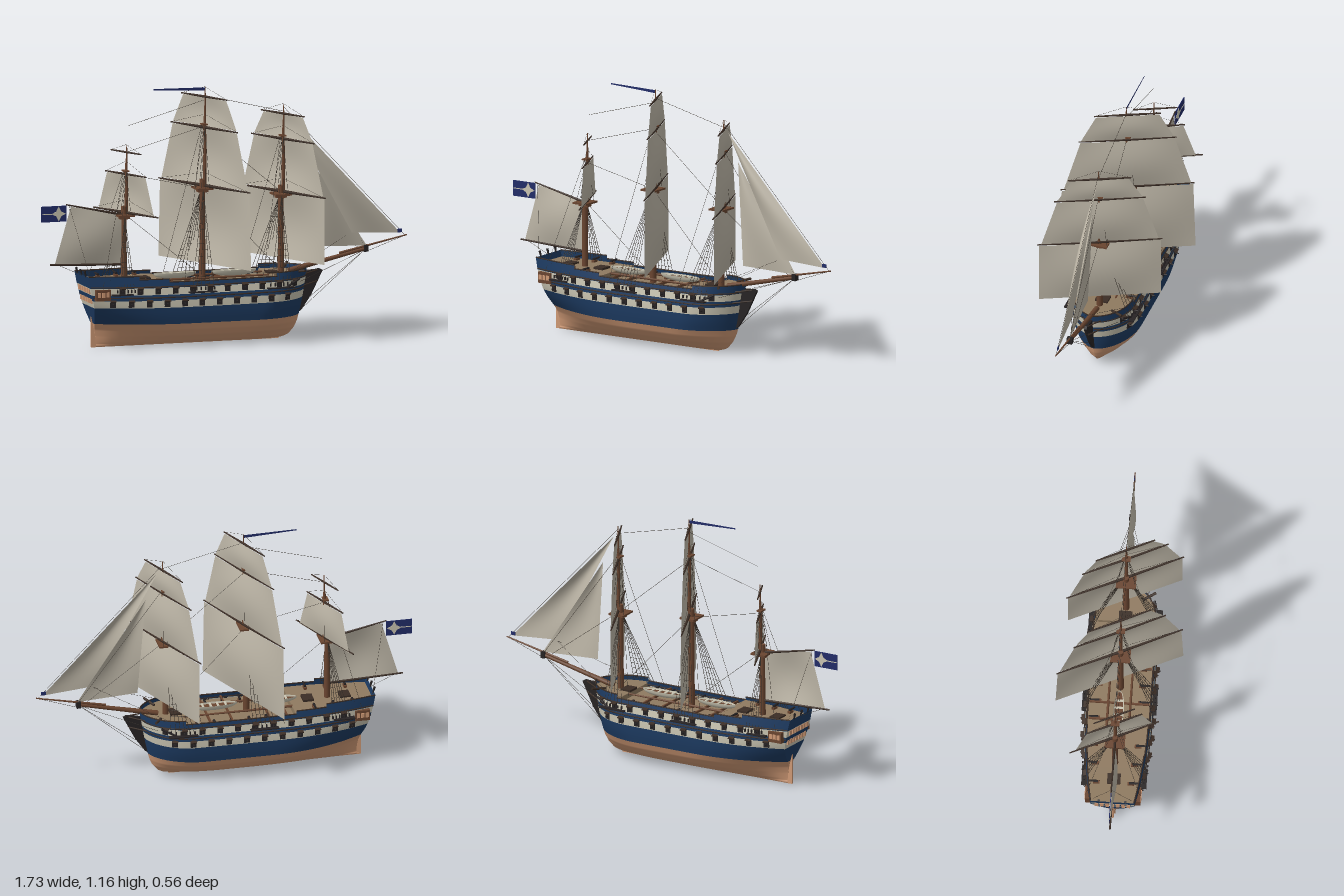
import * as THREE from 'three';
import { mergeGeometries } from 'three/addons/utils/BufferGeometryUtils.js';

const mat = (name, color) => Object.assign(new THREE.MeshStandardMaterial({ color, side: THREE.DoubleSide }), { name });
const V = (x, y, z) => new THREE.Vector3(x, y, z);
const lerp = THREE.MathUtils.lerp;

// Waterlines: y, stern x, bow x, half beam, stern breadth ratio, run length aft, entrance length
const LINES = [
  [0, -0.475, 0.37, 0.004, 1, 0.5, 0.2], [0.008, -0.475, 0.415, 0.034, 0.1, 0.5, 0.28],
  [0.02, -0.475, 0.44, 0.063, 0.06, 0.5, 0.28], [0.05, -0.478, 0.465, 0.106, 0.05, 0.5, 0.26],
  [0.08, -0.483, 0.478, 0.132, 0.08, 0.47, 0.25], [0.11, -0.49, 0.486, 0.146, 0.2, 0.44, 0.24],
  [0.15, -0.5, 0.496, 0.152, 0.42, 0.43, 0.22], [0.19, -0.51, 0.504, 0.154, 0.57, 0.42, 0.21],
  [0.23, -0.52, 0.511, 0.152, 0.64, 0.42, 0.2], [0.285, -0.533, 0.52, 0.143, 0.7, 0.42, 0.19],
  [0.34, -0.545, 0.526, 0.132, 0.73, 0.42, 0.18]];
function line(y) {
  let i = 0;
  while (i < LINES.length - 2 && y > LINES[i + 1][0]) i++;
  const a = LINES[i], b = LINES[i + 1], t = (y - a[0]) / (b[0] - a[0]);
  return a.map((v, k) => lerp(v, b[k], t));
}
function half(y, x) {
  const [, xs, xb, B, r, La, Lb] = line(y);
  const f = THREE.MathUtils.clamp((x - xb + Lb) / Lb, 0, 1);
  const a = THREE.MathUtils.clamp((xs + La - x) / La, 0, 1);
  return B * Math.pow(1 - f * f, 0.62) * (1 - (1 - r) * Math.pow(a, 2.2));
}
const sheer = (y, x) => y + 0.02 * x * x * THREE.MathUtils.clamp((y - 0.11) / 0.1, 0, 1);

// Smooth grid surface from a function of u, v in 0..1
function patch(fn, nu, nv) {
  const g = new THREE.PlaneGeometry(1, 1, nu, nv), p = g.attributes.position;
  for (let i = 0; i < p.count; i++) {
    const q = fn(p.getX(i) + 0.5, p.getY(i) + 0.5);
    p.setXYZ(i, q.x, q.y, q.z);
  }
  g.computeVertexNormals();
  return g;
}
function rod(a, b, r0, r1 = r0, seg = 8) {
  const d = b.clone().sub(a), g = new THREE.CylinderGeometry(r1, r0, d.length(), seg);
  g.applyQuaternion(new THREE.Quaternion().setFromUnitVectors(V(0, 1, 0), d.normalize()));
  return g.translate((a.x + b.x) / 2, (a.y + b.y) / 2, (a.z + b.z) / 2);
}
const box = (w, h, d, x, y, z, ry = 0, rx = 0) =>
  new THREE.BoxGeometry(w, h, d).rotateX(rx).rotateY(ry).translate(x, y, z);

export function createModel() {
  const ship = new THREE.Group();
  ship.name = 'sailingShip';
  const copper = mat('copper', 0xcf9975), blue = mat('hullBlue', 0x1d3b62), cream = mat('cream', 0xcac5b2),
    canvas = mat('canvas', 0xbcb5a6), wood = mat('mastWood', 0x6a4530), dark = mat('darkWood', 0x3b2d25),
    deckM = mat('deckPlanks', 0x8f7a60), black = mat('black', 0x272324), navy = mat('flagNavy', 0x222c68),
    rope = mat('rope', 0x3a332c);
  const add = (name, geo, m) => {
    const mesh = new THREE.Mesh(Array.isArray(geo) ? mergeGeometries(geo) : geo, m);
    mesh.name = name;
    ship.add(mesh);
  };

  // Hull planking in horizontal bands, closed by the transom
  function band(name, y0, y1, m, rows = 3, x0 = -9, x1 = 9) {
    const geos = [1, -1].map(s => patch((u, v) => {
      const y = lerp(y0, y1, v), L = line(y), a = Math.max(L[1], x0), b = Math.min(L[2], x1);
      const x = b - (b - a) * Math.pow(u, 1.8);
      return V(x, sheer(y, x), s * half(y, x));
    }, 48, rows));
    if (x0 < -1) geos.push(patch((u, v) => {
      const y = lerp(y0, y1, v), x = line(y)[1];
      return V(x, sheer(y, x), (2 * u - 1) * half(y, x));
    }, 2, rows));
    add(name, geos, m);
  }
  band('copperBottom', 0, 0.11, copper, 22);
  band('lowerWale', 0.11, 0.186, blue, 4);
  band('lowerStripe', 0.186, 0.219, cream);
  band('middleWale', 0.219, 0.245, blue);
  band('upperStripe', 0.245, 0.276, cream);
  band('bulwark', 0.276, 0.3, blue);
  band('quarterBulwark', 0.3, 0.314, blue, 1, -9, -0.17);
  band('poopBulwark', 0.314, 0.329, blue, 1, -9, -0.31);
  band('forecastleBulwark', 0.3, 0.316, blue, 1, 0.34);

  // Decks, bulkheads and rails
  const deck = (y, x0, x1) => patch((u, v) => {
    const x = lerp(Math.max(x0, line(y)[1]), Math.min(x1, line(y)[2]), 1 - (1 - u) ** 1.6);
    return V(x, sheer(y, x), (2 * v - 1) * half(y, x) * 0.995);
  }, 32, 2);
  add('decks', [deck(0.272, -9, 9), deck(0.3, -9, -0.17), deck(0.296, 0.34, 9),
    box(0.006, 0.03, 0.27, -0.17, 0.286, 0), box(0.006, 0.026, 0.25, 0.34, 0.284, 0)], deckM);
  const rails = [], rail = (y, x0, x1) => [1, -1].forEach(s => {
    const pts = [...Array(17).keys()].map(i => {
      const x = lerp(x0, x1, 1 - (1 - i / 16) ** 1.6);
      return V(x, sheer(y, x) + 0.001, s * half(y, x));
    });
    rails.push(new THREE.TubeGeometry(new THREE.CatmullRomCurve3(pts), 40, 0.003, 5));
  });
  rail(0.329, -0.541, -0.31); rail(0.314, -0.31, -0.17); rail(0.3, -0.17, 0.34); rail(0.316, 0.34, 0.522);
  rail(0.232, -0.52, 0.51); rail(0.28, -0.531, 0.518);
  add('rails', rails, dark);

  // Gun ports with raised lids, muzzles and deck guns
  const ports = [], lids = [], guns = [], carriages = [];
  [[0.204, 0], [0.262, 0.04]].forEach(([y, off]) => {
    for (let i = 0; i < 11; i++) [1, -1].forEach(s => {
      const x = -0.43 + off + i * 0.082, z = half(y, x) * s, yy = sheer(y, x);
      const ry = -Math.atan2((half(y, x + 0.01) - half(y, x - 0.01)) * s, 0.02);
      ports.push(box(0.026, 0.027, 0.006, x, yy, z, ry));
      lids.push(box(0.027, 0.004, 0.016, x, yy + 0.016, z + s * 0.007, ry, s * 0.35));
      guns.push(rod(V(x, yy, z - s * 0.01), V(x, yy, z + s * 0.018), 0.004, 0.003));
    });
  });
  const deckGun = (x, y, z0) => [1, -1].forEach(s => {
    guns.push(rod(V(x, y + 0.014, s * z0), V(x, y + 0.016, s * (z0 + 0.045)), 0.006, 0.004));
    carriages.push(box(0.014, 0.01, 0.03, x, y + 0.005, s * (z0 + 0.008)));
  });
  for (let i = 0; i < 6; i++) deckGun(-0.12 + i * 0.08, 0.272, 0.09);
  for (let i = 0; i < 3; i++) deckGun(-0.44 + i * 0.09, 0.304, 0.07 + i * 0.01);
  add('gunPorts', ports, black);
  add('portLids', lids, dark);
  add('guns', guns, black);
  add('gunCarriages', carriages, wood);

  // Keel, rudder, stem and beakhead
  add('rudder', [box(0.022, 0.14, 0.008, -0.486, 0.07, 0), box(0.88, 0.008, 0.01, -0.05, 0.004, 0)], copper);
  const stem = new THREE.Shape([[0.478, 0.11], [0.5, 0.125], [0.545, 0.19], [0.575, 0.25], [0.6, 0.3],
    [0.585, 0.308], [0.515, 0.295]].map(p => new THREE.Vector2(...p)));
  add('stem', new THREE.ExtrudeGeometry(stem, { depth: 0.012, bevelEnabled: false }).translate(0, 0, -0.006), black);
  add('headRails', [1, -1].flatMap(s => [0.24, 0.29].map(y =>
    rod(V(0.495, y, s * 0.045), V(0.575, y + 0.012, s * 0.006), 0.003))), dark);
  add('catheads', [1, -1].map(s => rod(V(0.44, 0.31, s * 0.07), V(0.475, 0.32, s * 0.13), 0.006)), dark);
  add('anchors', [1, -1].map(s => rod(V(0.38, 0.25, s * 0.146), V(0.45, 0.285, s * 0.125), 0.005)), black);

  // Quarter galleries and stern windows
  add('quarterGalleries', [1, -1].map(s => box(0.068, 0.05, 0.03, -0.478, 0.252, s * 0.11)), wood);
  const panes = [];
  [1, -1].forEach(s => [-0.498, -0.478, -0.458].forEach(x => panes.push(box(0.015, 0.022, 0.004, x, 0.254, s * 0.126))));
  [0.215, 0.262].forEach(y => { for (let i = -3; i <= 3; i++) panes.push(box(0.006, 0.022, 0.016, line(y)[1] - 0.002, y + 0.006, i * 0.024)); });
  add('sternWindows', panes, copper);
  add('sternLanterns', [-0.06, 0, 0.06].map(z => rod(V(-0.54, 0.33, z), V(-0.547, 0.358, z), 0.003, 0.006)), black);

  // Boats, skid beams, spare spars and hatches amidships
  const BOATS = [[-0.2, 0.2], [0.075, 0.21]], swell = u => Math.pow(Math.max(0, 1 - (2 * u - 1) ** 2), 0.6);
  add('boatHulls', BOATS.map(([x0, len]) => patch((u, v) => {
    const k = swell(u), a = Math.PI * v;
    return V(x0 + len * u, 0.322 - 0.028 * Math.sin(a) * (0.3 + 0.7 * k), 0.024 * k * Math.cos(a));
  }, 20, 8)), cream);
  add('boatFloors', BOATS.map(([x0, len]) => patch((u, v) =>
    V(x0 + len * lerp(0.04, 0.96, u), 0.315, 0.019 * swell(lerp(0.04, 0.96, u)) * (2 * v - 1)), 16, 1)), wood);
  add('boatThwarts', BOATS.flatMap(([x0, len]) => [0.25, 0.42, 0.58, 0.75].map(k => box(0.01, 0.003, 0.038, x0 + len * k, 0.319, 0))), cream);
  add('skidBeams', [-0.13, -0.05, 0.12, 0.22].map(x => box(0.008, 0.01, 0.27, x, 0.288, 0)), wood);
  add('spareSpars', [1, -1].map(s => rod(V(-0.17, 0.298, s * 0.05), V(0.33, 0.298, s * 0.05), 0.006, 0.004)), wood);
  add('hatches', [[-0.25, 0.306], [-0.42, 0.306], [0.36, 0.302]].map(([x, y]) => box(0.05, 0.01, 0.06, x, y, 0)), dark);

  // Masts with braced yards, square sails, tops and shrouds
  const ANG = 0.425, OUT = 0.012, dir = V(Math.sin(ANG), 0, Math.cos(ANG)), fwd = V(Math.cos(ANG), 0, -Math.sin(ANG));
  const lines = [], str = (a, b, r = 0.0009) => lines.push(rod(a, b, r, r, 3));
  const at = (m, y, along, out) => V(m.x, y, 0).addScaledVector(dir, along).addScaledVector(fwd, out);
  const masts = [
    { name: 'main', x: 0.031, h: 1.16, top: 0.7, yards: [[0.71, 0.303], [0.975, 0.222], [1.115, 0.152]],
      sails: [[0.355, 0.307, 0.705, 0.297], [0.715, 0.287, 0.97, 0.213], [0.98, 0.211, 1.11, 0.143]] },
    { name: 'fore', x: 0.403, h: 1.065, top: 0.655, yards: [[0.665, 0.283], [0.905, 0.208], [1.02, 0.143]],
      sails: [[0.36, 0.275, 0.66, 0.275], [0.67, 0.265, 0.9, 0.195], [0.91, 0.193, 1.015, 0.13]] },
    { name: 'mizzen', x: -0.341, h: 0.915, top: 0.595, yards: [[0.605, 0.215], [0.78, 0.135], [0.88, 0.1]],
      sails: [[0.6, 0.185, 0.775, 0.128]] }];
  for (const m of masts) {
    add(m.name + 'Mast', [rod(V(m.x, 0.2, 0), V(m.x, m.top + 0.04, 0), 0.015, 0.012, 12),
      rod(V(m.x + 0.012, m.top - 0.02, 0), V(m.x + 0.012, m.yards[1][0] + 0.05, 0), 0.009, 0.006),
      rod(V(m.x + 0.012, m.yards[1][0], 0), V(m.x + 0.014, m.h, 0), 0.006, 0.002)], wood);
    add(m.name + 'Top', [box(0.075, 0.008, 0.09, m.x, m.top, 0), box(0.05, 0.014, 0.03, m.x, m.top - 0.01, 0),
      box(0.025, 0.006, 0.04, m.x + 0.008, m.yards[1][0] + 0.015, 0)], wood);
    add(m.name + 'Yards', m.yards.flatMap(([y, w]) => [1, -1].map(s =>
      rod(at(m, y, 0, OUT), at(m, y, s * w, OUT), 0.008 * Math.sqrt(w / 0.3), 0.003))), dark);
    add(m.name + 'Sails', m.sails.map(([y0, w0, y1, w1]) => patch((u, v) => {
      const belly = 0.07 * (y1 - y0) * Math.sin(Math.PI * u) * Math.sin(Math.PI * v);
      return at(m, lerp(y0, y1, v), (2 * u - 1) * lerp(w0, w1, v), OUT + 0.003 + belly);
    }, 16, 12)), canvas);
    const chan = [], small = m.name === 'mizzen' ? 0.75 : 1;
    [1, -1].forEach(s => {
      const cz = x => s * (half(0.25, x) + 0.011);
      chan.push(box(0.13 * small, 0.005, 0.026, m.x - 0.05, 0.252, cz(m.x - 0.05) - s * 0.004));
      const feet = [...Array(6).keys()].map(i => m.x + 0.005 - i * 0.021 * small).map(x => V(x, 0.26, cz(x)));
      const head = V(m.x, m.top - 0.005, s * 0.014);
      feet.forEach(f => { str(f, head, 0.0012); chan.push(box(0.006, 0.014, 0.006, f.x, 0.268, f.z)); });
      for (let k = 1; k < 14; k++) str(feet[0].clone().lerp(head, k / 15), feet[5].clone().lerp(head, k / 15), 0.0007);
      for (let i = -1; i <= 1; i++) str(V(m.x + i * 0.02, m.top, s * 0.042), V(m.x + 0.01, m.yards[1][0] + 0.015, s * 0.006));
      str(V(m.x - 0.14, 0.27, cz(m.x - 0.14)), V(m.x, m.yards[1][0] + 0.02, 0));
      m.yards.forEach(([y, w]) => str(at(m, y, s * w, OUT), V(m.x + 0.012, Math.min(m.h, y + 0.06), 0), 0.0006));
    });
    add(m.name + 'Channels', chan, black);
  }

  // Bowsprit and jib boom
  add('bowsprit', [rod(V(0.44, 0.305, 0), V(0.81, 0.388, 0), 0.012, 0.008, 12), rod(V(0.68, 0.372, 0), V(1, 0.44, 0), 0.006, 0.003)], wood);
  add('bowspritCap', box(0.02, 0.03, 0.026, 0.805, 0.388, 0), black);
  add('jack', box(0.022, 0.016, 0.003, 0.966, 0.46, 0), navy);

  // Fore-and-aft sails: corners head, tack, clew, then slight belly
  const jib = (h, t, c) => patch((u, v) => {
    const p = V(...h, 0).lerp(V(...t, 0).lerp(V(...c, 0), u), v);
    p.z = 0.022 * Math.sin(Math.PI * u) * Math.sin(Math.PI * v) + 0.012 * u * v;
    return p;
  }, 10, 16);
  add('jibs', [jib([0.44, 1.01], [0.97, 0.45], [0.735, 0.465]), jib([0.495, 0.88], [0.81, 0.4], [0.53, 0.41])], canvas);
  add('spanker', patch((u, v) => {
    const p = V(-0.343, 0.372, 0).lerp(V(-0.668, 0.385, 0), u).lerp(V(-0.343, 0.595, 0).lerp(V(-0.592, 0.645, 0), u), v);
    p.z = 0.02 * Math.sin(Math.PI * u) * Math.sin(Math.PI * v);
    return p;
  }, 12, 10), canvas);
  add('gaffAndBoom', [rod(V(-0.34, 0.595, 0), V(-0.615, 0.655, 0), 0.006, 0.003), rod(V(-0.34, 0.37, 0), V(-0.69, 0.384, 0), 0.006, 0.004)], dark);

  // Ensign with pale cross, and masthead pennant
  add('ensign', box(0.12, 0.072, 0.003, -0.673, 0.615, 0), navy);
  const star = new THREE.Shape([...Array(8).keys()].map(i => {
    const r = i % 2 ? 0.016 : 0.034;
    return new THREE.Vector2(Math.cos(i * Math.PI / 4) * r, Math.sin(i * Math.PI / 4) * r);
  }));
  add('ensignCross', [new THREE.ExtrudeGeometry(star, { depth: 0.006, bevelEnabled: false }).translate(-0.65, 0.615, -0.003),
    box(0.06, 0.004, 0.006, -0.7, 0.615, 0).toNonIndexed()], cream);
  add('pennant', patch((u, v) => V(0.045 - 0.245 * u, 1.15 + 0.008 * u + (v - 0.5) * 0.014 * (1 - 0.6 * u), 0), 8, 1), navy);

  // Stays and bobstays
  [[0.417, 1.05, 0.99, 0.44], [0.42, 0.92, 0.81, 0.39], [0.41, 0.66, 0.78, 0.385], [0.044, 1.12, 0.417, 1.03], [0.04, 0.97, 0.41, 0.66],
    [0.03, 0.7, 0.39, 0.32], [-0.33, 0.88, 0.04, 0.98], [-0.33, 0.78, 0.03, 0.7], [-0.34, 0.6, 0.03, 0.3], [0.8, 0.38, 0.54, 0.18],
    [0.8, 0.38, 0.51, 0.135], [0.99, 0.437, 0.8, 0.37], [-0.32, 1, 0.04, 1.1], [-0.66, 0.385, -0.54, 0.33]]
    .forEach(([a, b, c, d]) => str(V(a, b, 0), V(c, d, 0)));
  [1, -1].forEach(s => {
    str(V(0.8, 0.38, 0), V(0.46, 0.27, s * 0.11));
    str(V(0.735, 0.465, 0), V(0.4, 0.31, s * 0.12), 0.0007);
    str(V(-0.6, 0.65, 0), V(-0.53, 0.33, s * 0.09), 0.0007);
  });
  add('rigging', lines, rope);
  return ship;
}
